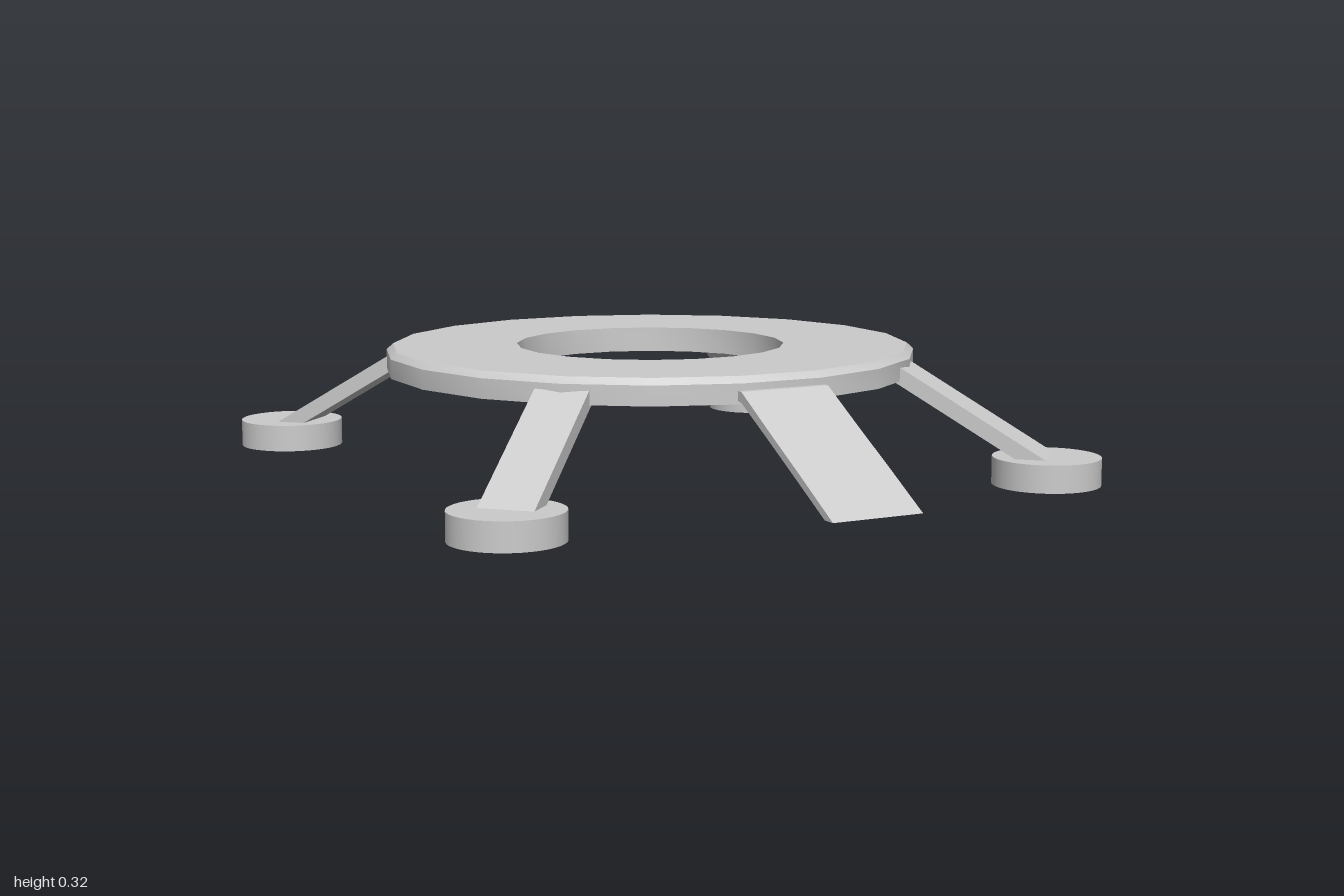
import * as THREE from 'three';
import { toCreasedNormals } from 'three/addons/utils/BufferGeometryUtils.js';

const material = new THREE.MeshStandardMaterial({ color: 0xcccccc });

function addMesh(parent, name, geometry) {
  const mesh = new THREE.Mesh(geometry, material);
  mesh.name = name;
  parent.add(mesh);
  return mesh;
}

// Extrudes a side profile (forward distance, height) across a width centred on x = 0.
function sideExtrude(points, width) {
  const shape = new THREE.Shape(points.map(([d, y]) => new THREE.Vector2(d, y)));
  const geometry = new THREE.ExtrudeGeometry(shape, { depth: width, bevelEnabled: false });
  geometry.translate(0, 0, -width / 2);
  geometry.rotateY(-Math.PI / 2); // profile x becomes +z
  return geometry;
}

export function createModel() {
  const model = new THREE.Group();
  model.name = 'ringPlatform';

  // Everything except the ramp is arranged around the ring's centre
  const base = new THREE.Group();
  base.name = 'base';
  base.position.z = -0.118;
  model.add(base);

  // Ring deck: 20 sides, chamfered top rim, round opening
  const profile = [
    [0.353, 0.256], [0.698, 0.256], [0.698, 0.306],
    [0.681, 0.322], [0.353, 0.322], [0.353, 0.256],
  ].map(([r, y]) => new THREE.Vector2(r, y));
  const ring = new THREE.LatheGeometry(profile, 20, Math.PI / 20);
  addMesh(base, 'ringDeck', toCreasedNormals(ring, 0.5));

  // Four diagonal legs, each a sloping beam ending in a round foot pad
  const beam = sideExtrude([
    [0.64, 0.265], [1.09, 0.0], [1.09, 0.055], [0.69, 0.29], [0.64, 0.31],
  ], 0.138);
  // slim the lower side so the beam keeps an even thickness
  const slim = sideExtrude([
    [0.64, 0.272], [0.68, 0.25], [1.03, 0.044], [1.09, 0.03],
    [1.09, 0.054], [0.69, 0.29], [0.64, 0.3],
  ], 0.138);
  beam.dispose();
  const pad = new THREE.CylinderGeometry(0.138, 0.138, 0.071, 40);
  for (let i = 0; i < 4; i++) {
    const leg = new THREE.Group();
    leg.name = 'leg' + (i + 1);
    leg.rotation.y = Math.PI / 4 + i * Math.PI / 2;
    addMesh(leg, 'legBeam', slim);
    addMesh(leg, 'footPad', pad).position.set(0, 0.0355, 1.054);
    base.add(leg);
  }

  // Thin front ramp in three panels with slight kinks at the seams
  const ramp = sideExtrude([
    [0.53, 0.27], [0.585, 0.262], [0.72, 0.187], [0.85, 0.113], [0.965, 0.047],
    [1.0, 0.047], [0.855, 0.132], [0.727, 0.205], [0.585, 0.288], [0.53, 0.29],
  ], 0.24);
  addMesh(model, 'ramp', ramp);

  return model;
}
